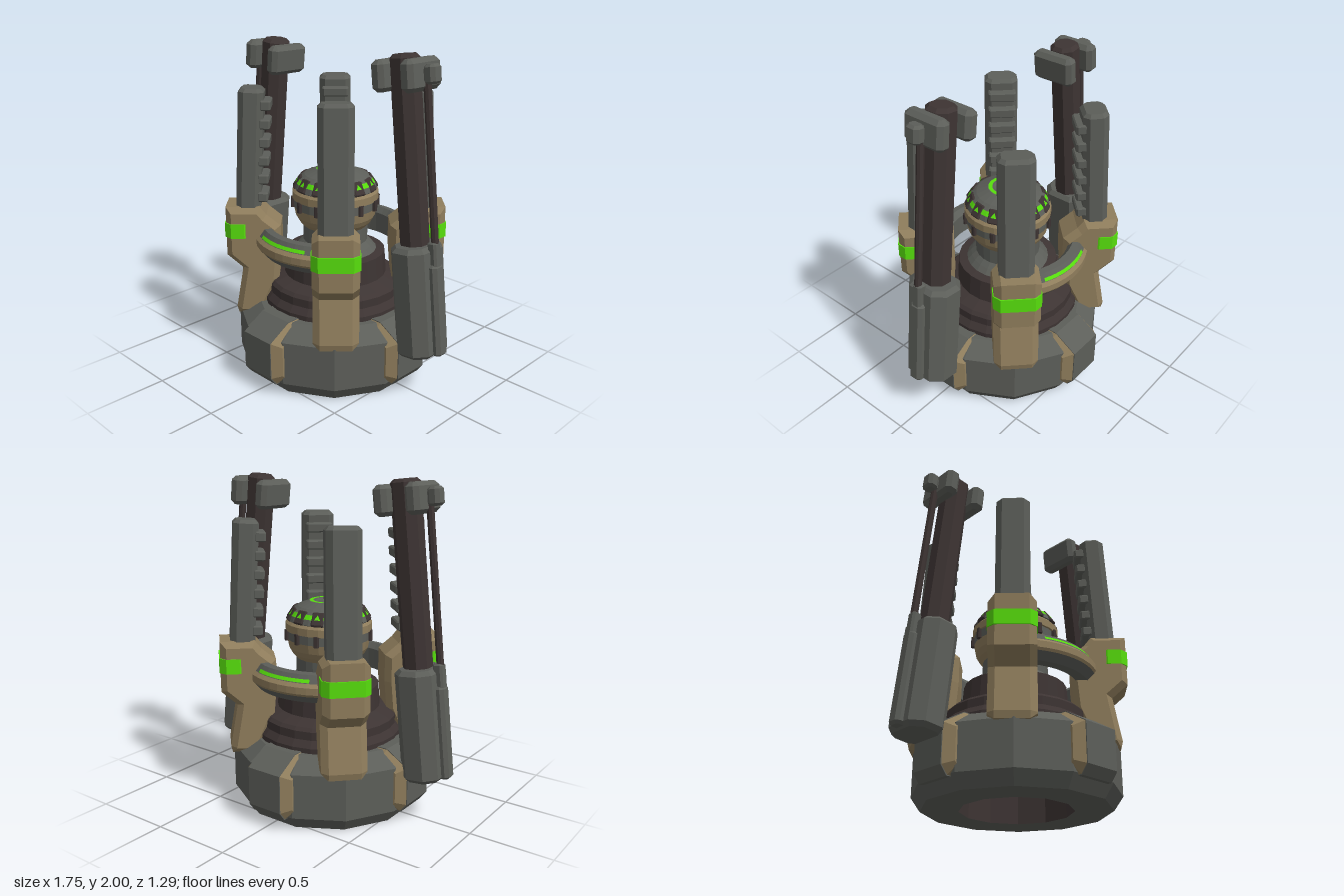
import * as THREE from 'three';

const mat = (name, color) => Object.assign(new THREE.MeshStandardMaterial({ color }), { name });

export function createModel() {
  const grey = mat('gunmetal grey', 0x5c5e59);
  const tan = mat('armour tan', 0x8f7d5c);
  const brown = mat('dark brown steel', 0x3d3433);
  const green = mat('glowing green', 0x57de0d);

  const model = new THREE.Group();
  model.name = 'reactorTower';

  // Adds a faceted mesh
  function add(parent, name, geo, material, x = 0, y = 0, z = 0) {
    const g = geo.index ? geo.toNonIndexed() : geo;
    g.computeVertexNormals();
    const m = new THREE.Mesh(g, material);
    m.name = name;
    m.position.set(x, y, z);
    parent.add(m);
    return m;
  }
  function group(parent, name, rotY = 0) {
    const g = new THREE.Group();
    g.name = name;
    g.rotation.y = rotY;
    parent.add(g);
    return g;
  }
  const shapeOf = (pts) => new THREE.Shape(pts.map((p) => new THREE.Vector2(p[0], p[1])));
  const lathe = (pts, seg = 24, start = Math.PI / seg, len = Math.PI * 2) =>
    new THREE.LatheGeometry(pts.map((p) => new THREE.Vector2(p[0], p[1])), seg, start, len);

  // Side profile extruded to a total width, with chamfers b on both flanks
  const slab = (pts, width, b = 0, inset = b) =>
    new THREE.ExtrudeGeometry(shapeOf(pts), {
      depth: width - 2 * b, bevelEnabled: b > 0, bevelThickness: b,
      bevelSize: inset, bevelOffset: -inset, bevelSegments: 1,
    }).translate(0, 0, b - width / 2);

  // Upright block standing on y = 0, with chamfered corners c and bevelled ends b
  function block(w, h, d, c, b = 0) {
    const x = w / 2, z = d / 2;
    return slab([
      [x, z - c], [x - c, z], [c - x, z], [-x, z - c],
      [-x, c - z], [c - x, -z], [x - c, -z], [x, c - z],
    ], h, b).translate(0, 0, h / 2).rotateX(-Math.PI / 2);
  }

  // Twelve-sided base ring with a hollow underside
  const base = group(model, 'base');
  add(base, 'baseRing', lathe([[0.33, 0], [0.55, 0], [0.605, 0.08], [0.605, 0.35], [0.49, 0.43], [0.38, 0.43]], 12), grey);
  add(base, 'baseBore', lathe([[0.33, 0.27], [0.33, 0]], 12), brown);
  add(base, 'boreCeiling', lathe([[0, 0.27], [0.33, 0.27]], 12), tan);

  // Four base buttresses: tan blocks with chamfered flanks and a grey facing
  const buttressProfile = (o) => [
    [0.4, 0.07], [0.6 + o, 0.07 - o], [0.641 + o, 0.12], [0.641 + o, 0.35], [0.5, 0.435 + o], [0.4, 0.435 + o],
  ];
  for (let k = 0; k < 4; k++) {
    const b = group(base, 'buttress', (k * Math.PI) / 2);
    add(b, 'buttressBlock', slab(buttressProfile(0), 0.33, 0.05), tan);
    add(b, 'buttressFacing', slab(buttressProfile(0.004), 0.232), grey);
  }

  // Everything above the base sits slightly back
  const upper = group(model, 'upperAssembly');
  upper.position.z = -0.012;

  // Central column
  const core = group(upper, 'core');
  add(core, 'columnSkirt', lathe([[0.45, 0.4], [0.45, 0.46], [0.42, 0.5], [0.42, 0.55], [0.4, 0.57], [0.32, 0.6], [0.31, 0.74], [0.25, 0.75]]), brown);
  add(core, 'columnNeck', lathe([[0.26, 0.745], [0.23, 0.78], [0.2, 0.81], [0.2, 0.92]]), grey);

  // Domed head
  add(core, 'headBowl', lathe([[0.19, 0.895], [0.225, 0.935], [0.245, 0.97], [0.256, 1.025]]), tan);
  add(core, 'headLowerBand', lathe([[0.245, 1.02], [0.256, 1.025], [0.256, 1.08], [0.245, 1.085]]), grey);
  add(core, 'headCollar', lathe([[0.25, 1.075], [0.266, 1.08], [0.266, 1.125], [0.25, 1.142]]), tan);
  add(core, 'headUpperBand', lathe([[0.25, 1.14], [0.255, 1.145], [0.243, 1.177]]), grey);
  add(core, 'headGlowBand', lathe([[0.243, 1.177], [0.225, 1.203]]), green);
  add(core, 'dome', lathe([[0.225, 1.203], [0.19, 1.228], [0.12, 1.255], [0.085, 1.255], [0.075, 1.245], [0, 1.245]]), grey);
  add(core, 'domeGlowRing', lathe([[0.117, 1.258], [0.093, 1.258]]), green);
  for (let k = 0; k < 12; k++) {
    const g = group(core, 'headStation', Math.PI / 9 + (k * Math.PI) / 6);
    add(g, 'clip', block(0.03, 0.065, 0.025, 0.006), brown, 0, 1.02, 0.262);
    const lug = group(g, 'lug');
    lug.position.set(0, 1.14, 0.25);
    lug.rotation.x = -0.6;
    add(lug, 'lugBlock', block(0.076, 0.088, 0.034, 0.008, 0.006), brown);
    add(lug, 'lugLight', new THREE.CircleGeometry(0.022, 3, Math.PI / 2), green, 0, 0.046, 0.0185);
  }

  // Curved bridges joining the arms at front and back
  for (let k = 0; k < 2; k++) {
    const g = group(upper, 'bridge', k * Math.PI);
    const arc = (pts, a) => lathe(pts, 10, -a, 2 * a);
    add(g, 'bridgeUnderside', arc([[0.38, 0.75], [0.45, 0.745], [0.49, 0.79]], 0.62), grey);
    add(g, 'bridgeRail', arc([[0.49, 0.79], [0.5, 0.805], [0.5, 0.845], [0.48, 0.865]], 0.62), tan);
    add(g, 'bridgeTop', arc([[0.48, 0.865], [0.45, 0.91], [0.41, 0.915], [0.38, 0.88], [0.38, 0.75]], 0.62), grey);
    add(g, 'bridgeLight', arc([[0.481, 0.87], [0.469, 0.888]], 0.4), green);
  }

  // Four diagonal arms carrying toothed shafts
  const armProfile = [
    [0.45, 0.34], [0.61, 0.34], [0.62, 0.38], [0.573, 0.645], [0.668, 0.73], [0.668, 1.04],
    [0.46, 1.04], [0.42, 0.99], [0.335, 0.92], [0.335, 0.75], [0.35, 0.57],
  ];
  // Wrap-around light in plan: radius against width
  const bandShape = shapeOf([
    [0.54, -0.13], [0.555, -0.139], [0.635, -0.139], [0.675, -0.099],
    [0.675, 0.099], [0.635, 0.139], [0.555, 0.139], [0.54, 0.13],
  ]);
  for (let k = 0; k < 4; k++) {
    const arm = group(upper, 'arm', Math.PI / 4 + (k * Math.PI) / 2);
    add(arm, 'armBody', slab(armProfile, 0.268, 0.04, 0.035), tan);
    add(arm, 'armLight', new THREE.ExtrudeGeometry(bandShape, { depth: 0.09, bevelEnabled: false })
      .rotateX(-Math.PI / 2), green, 0, 0.85, 0);
    const shaft = group(arm, 'shaft');
    shaft.position.set(0.535, 0.95, 0);
    shaft.rotation.z = 0.053;
    add(shaft, 'shaftBar', block(0.15, 0.805, 0.2, 0.035, 0.02), grey);
    for (let i = 0; i < 6; i++) {
      add(shaft, 'tooth', block(0.07, 0.06, 0.17, 0.012, 0.008), grey, -0.083, 0.12 + i * 0.112, 0);
    }
  }

  // Tilted pistons on both sides, mirrored across the middle
  for (let k = 0; k < 2; k++) {
    const piston = group(group(upper, 'pistonSide', k * Math.PI), 'piston');
    piston.position.set(0.705, 0.285, 0);
    piston.rotation.z = 0.108;
    add(piston, 'housing', block(0.24, 0.66, 0.3, 0.065, 0.025), grey, 0.012);
    add(piston, 'railLower', block(0.08, 0.55, 0.09, 0.02, 0.015), grey, 0.132, 0.01, 0);
    add(piston, 'railUpper', block(0.06, 0.16, 0.06, 0.012, 0.01), grey, 0.137, 0.53, 0);
    add(piston, 'mainRod', block(0.16, 1.12, 0.16, 0.045, 0.02), brown, 0, 0.6, 0);
    add(piston, 'thinRod', new THREE.CylinderGeometry(0.022, 0.022, 1, 8), brown, 0.145, 1.13, 0);
    for (const s of [-1, 1]) {
      add(piston, 'headPlate', block(0.09, 0.175, 0.272, 0.025, 0.025), grey, s * 0.102, 1.523, 0);
    }
    add(piston, 'linkBar', block(0.08, 0.06, 0.06, 0.01), grey, 0.15, 1.58, 0);
    add(piston, 'linkEnd', block(0.075, 0.105, 0.09, 0.02, 0.015), grey, 0.183, 1.56, 0);
  }

  return model;
}
